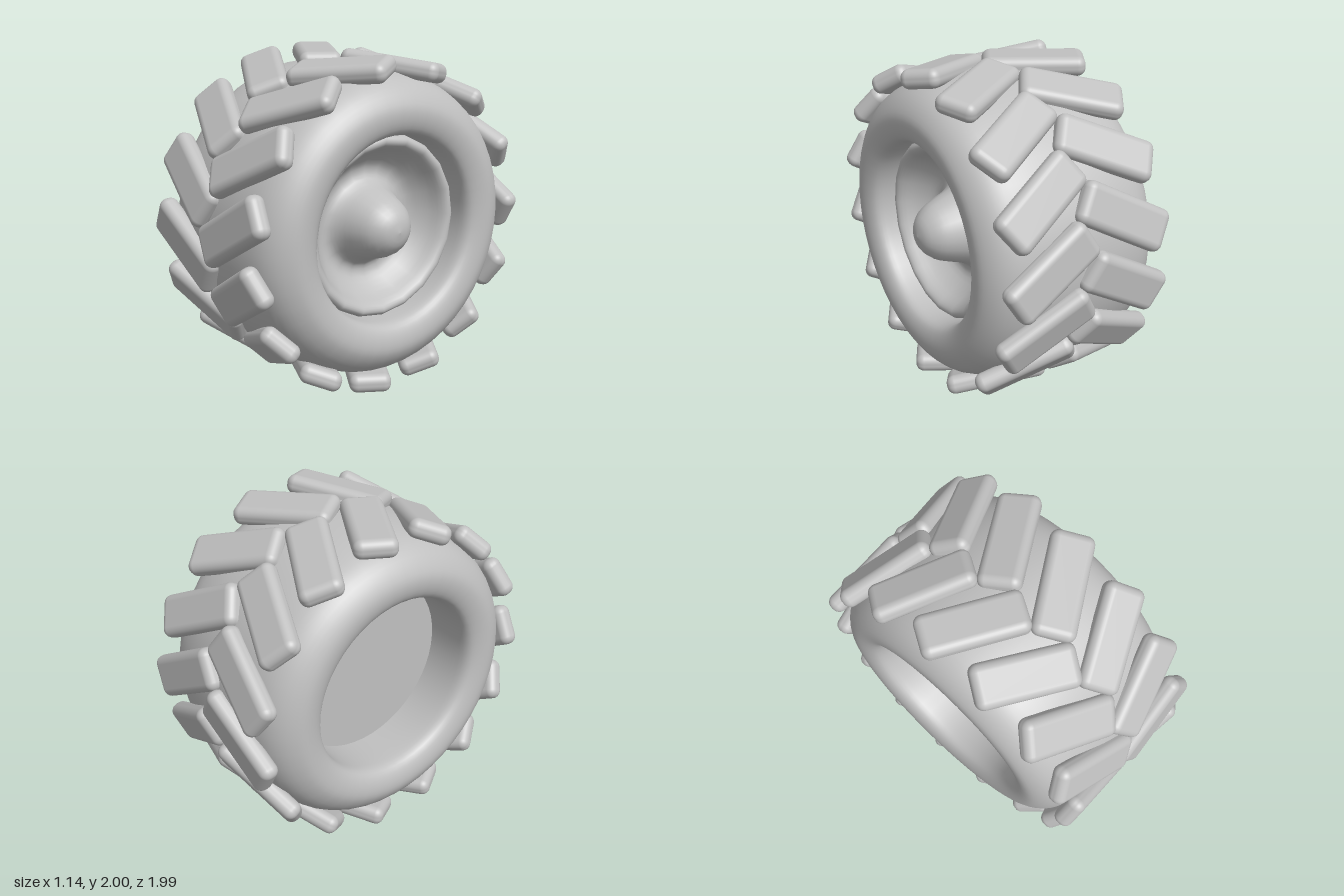
import * as THREE from 'three';
import { RoundedBoxGeometry } from 'three/addons/geometries/RoundedBoxGeometry.js';

const LUGS = 15; // tread blocks per side
const rubberGrey = new THREE.MeshStandardMaterial({ color: 0xc0c0c0 });
rubberGrey.name = 'rubberGrey';

// Revolve [radius, x] points around the x axis with a smooth profile
function revolve(name, pts, samples, sides) {
  const curve = new THREE.SplineCurve(pts.map(([r, x]) => new THREE.Vector2(r, x)));
  const profile = curve.getPoints(samples);
  profile.forEach((p) => { p.x = Math.max(0, p.x); });
  const geo = new THREE.LatheGeometry(profile, sides);
  geo.rotateZ(-Math.PI / 2);
  const mesh = new THREE.Mesh(geo, rubberGrey);
  mesh.name = name;
  return mesh;
}

export function createModel() {
  const model = new THREE.Group();
  model.name = 'tractorWheel';
  const wheel = new THREE.Group();
  wheel.name = 'wheel';
  wheel.position.y = 1;
  model.add(wheel);

  // Tyre: half profile from barrel to crown, mirrored for the other side
  const half = [
    [0.55, 0], [0.55, 0.2], [0.55, 0.42], [0.56, 0.51], [0.6, 0.551], [0.67, 0.57],
    [0.74, 0.56], [0.82, 0.505], [0.876, 0.415], [0.905, 0.28], [0.917, 0.14],
  ];
  const tyrePts = [
    ...half.map(([r, x]) => [r, -x]),
    [0.92, 0],
    ...half.slice().reverse(),
  ];
  wheel.add(revolve('tyre', tyrePts, 66, 48));

  // Dished hub with a raised outer ring and a domed centre
  wheel.add(revolve('hub', [
    [0.545, -0.22], [0.545, 0.1], [0.548, 0.35], [0.535, 0.41], [0.505, 0.425], [0.47, 0.4],
    [0.425, 0.32], [0.35, 0.24], [0.28, 0.23], [0.23, 0.285], [0.195, 0.38],
    [0.155, 0.47], [0.085, 0.535], [0, 0.555],
  ], 39, 20));

  // Flat plate closing the back of the hub
  const plate = new THREE.Mesh(new THREE.CircleGeometry(0.553, 48), rubberGrey);
  plate.name = 'hubBackPlate';
  plate.position.x = -0.22;
  plate.rotation.y = -Math.PI / 2;
  wheel.add(plate);

  // Slanted tread blocks, two staggered rows forming a chevron
  const lugGeo = new RoundedBoxGeometry(0.598, 0.25, 0.115, 4, 0.05);
  for (const side of [-1, 1]) {
    for (let i = 0; i < LUGS; i++) {
      const spoke = new THREE.Group();
      spoke.name = side > 0 ? 'leftTreadBlock' : 'rightTreadBlock';
      const start = THREE.MathUtils.degToRad(side > 0 ? 6.3 : -5.6);
      spoke.rotation.x = -(start + (i * Math.PI * 2) / LUGS);
      const lug = new THREE.Mesh(lugGeo, rubberGrey);
      lug.name = 'treadBlock';
      lug.position.set(side * 0.246, 0, 0.922);
      lug.rotation.z = side * THREE.MathUtils.degToRad(31);
      spoke.add(lug);
      wheel.add(spoke);
    }
  }
  return model;
}
